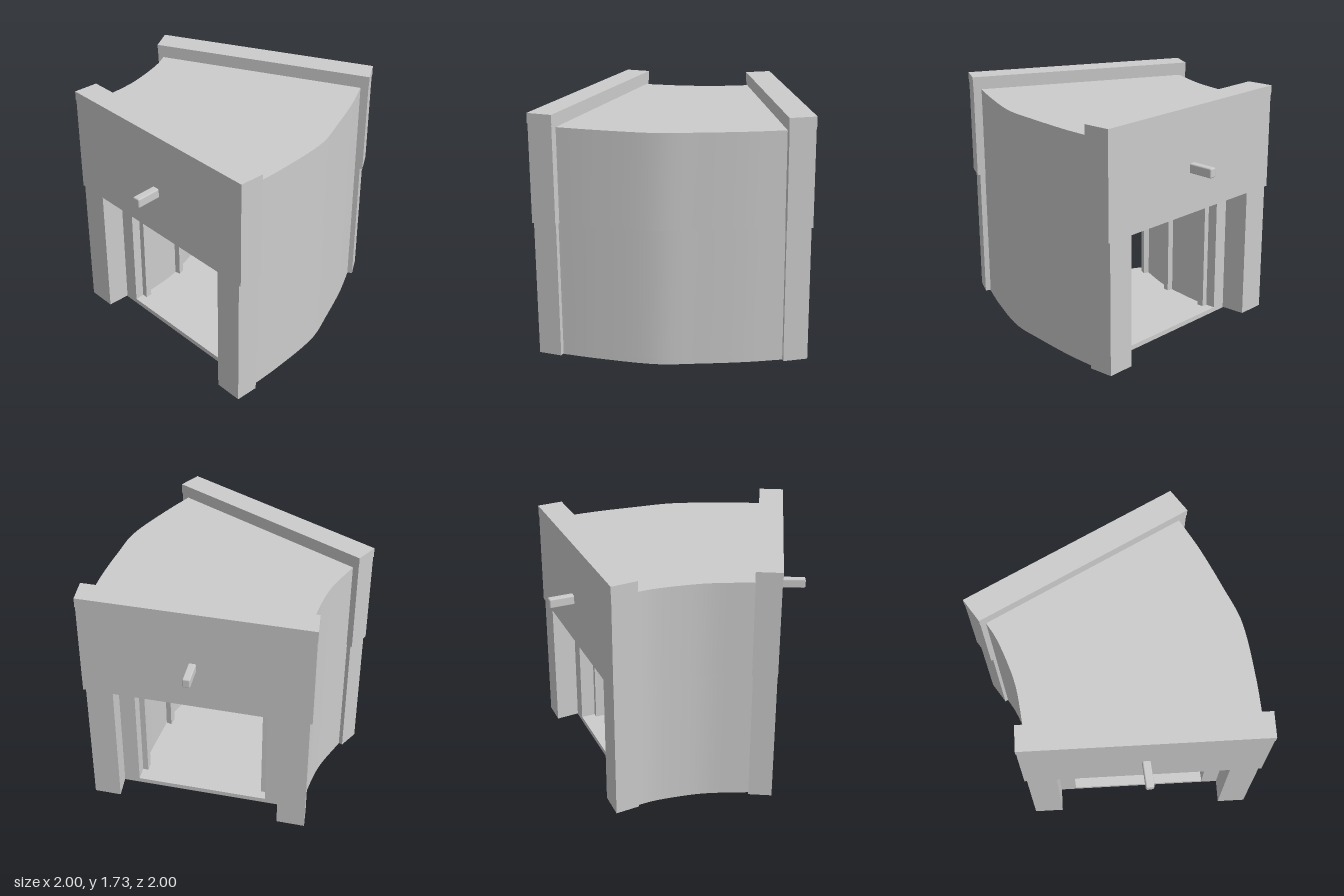
import * as THREE from 'three';
import { toCreasedNormals } from 'three/addons/utils/BufferGeometryUtils.js';
import { RoundedBoxGeometry } from 'three/addons/geometries/RoundedBoxGeometry.js';

export function createModel() {
  const model = new THREE.Group();
  const grey = new THREE.MeshStandardMaterial({ color: 0xcccccc });
  grey.name = 'plain grey';

  // Plan curves of the two side walls, as (x, 0, z), from front to back
  const curve = (pts) => new THREE.CatmullRomCurve3(pts.map(([x, z]) => new THREE.Vector3(x, 0, z)));
  const innerCurve = curve([[-0.628, 0.65], [-0.67, 0.345], [-0.725, 0.163], [-0.8, -0.02], [-0.858, -0.117]]);
  const outerCurve = curve([[0.933, 0.65], [0.917, 0.38], [0.86, -0.04], [0.765, -0.275], [0.62, -0.595], [0.495, -0.822]]);

  // Plan maps: u runs across from right to left, s from front to back
  const passage = (u, s) => innerCurve.getPointAt(s).lerp(outerCurve.getPointAt(s), u);
  const quad = (fr, fl, br, bl) => {
    const v = ([x, z]) => new THREE.Vector3(x, 0, z);
    return (u, s) => v(fr).lerp(v(fl), u).lerp(v(br).lerp(v(bl), u), s);
  };
  const frontFrame = quad([-0.68, 0.82], [0.995, 0.82], [-0.68, 0.64], [0.995, 0.64]);
  const backFrame = quad([-0.894, -0.094], [0.553, -0.842], [-1.0, -0.254], [0.447, -1.0]);

  // A box whose plan is bent by one of the maps
  function block(name, map, [u0, u1], [y0, y1], [s0, s1], steps = 1) {
    const geo = new THREE.BoxGeometry(1, 1, 1, 1, 1, steps);
    const pos = geo.attributes.position;
    for (let i = 0; i < pos.count; i++) {
      const u = u0 + (pos.getX(i) + 0.5) * (u1 - u0);
      const s = s0 + (0.5 - pos.getZ(i)) * (s1 - s0);
      const p = map(u, THREE.MathUtils.clamp(s, 0, 1));
      pos.setXYZ(i, p.x, y0 + (pos.getY(i) + 0.5) * (y1 - y0), p.z);
    }
    const mesh = new THREE.Mesh(toCreasedNormals(geo, 0.5), grey);
    mesh.name = name;
    model.add(mesh);
  }

  // Curved passage
  const wallR = 0.186, wallL = 0.82, full = [0, 1], N = 20;
  block('floor', passage, full, [0, 0.035], full, N);
  block('rightWall', passage, [0, wallR], [0.035, 0.97], full, N);
  block('leftWall', passage, [wallL, 1], [0.035, 0.97], full, N);
  block('roof', passage, full, [0.97, 1.635], full, N);

  // Ribs and wall lamps on both inner walls
  const sides = [['right', wallR, 1], ['left', wallL, -1]];
  for (const [side, wall, d] of sides) {
    const span = (a, b) => (d > 0 ? [wall + a, wall + b] : [wall - b, wall - a]);
    for (const s of [0.1, 0.5, 0.9])
      block(side + 'Rib', passage, span(0, 0.027), [0.035, 0.97], [s - 0.025, s + 0.025], 2);
    for (const s of [0.3, 0.7]) {
      block(side + 'LampRod', passage, span(0, 0.035), [0.892, 0.907], [s - 0.006, s + 0.006]);
      block(side + 'Lamp', passage, span(0.035, 0.08), [0.857, 0.93], [s - 0.02, s + 0.02]);
    }
  }

  // Portal frames at both ends
  for (const [end, map] of [['front', frontFrame], ['back', backFrame]]) {
    block(end + 'RightPost', map, [0.012, 0.137], [0.005, 0.97], [0.03, 0.95]);
    block(end + 'LeftPost', map, [0.866, 0.986], [0.005, 0.97], [0.03, 0.95]);
    block(end + 'Lintel', map, [0.002, 0.998], [0.97, 1.66], [0.015, 0.985]);
    block(end + 'Cap', map, full, [1.66, 1.73], full);
  }

  // Short pegs sticking out of the lintels
  function peg(name, [x0, z0], [x1, z1], width) {
    const length = Math.hypot(x1 - x0, z1 - z0) + 0.02;
    const mesh = new THREE.Mesh(new RoundedBoxGeometry(width, 0.07, length, 1, 0.01), grey);
    mesh.name = name;
    mesh.position.set((x0 + x1) / 2, 1.3, (z0 + z1) / 2);
    mesh.rotation.y = Math.atan2(x1 - x0, z1 - z0);
    model.add(mesh);
  }
  peg('frontPeg', [0.17, 0.82], [0.184, 0.99], 0.058);
  peg('backPeg', [-0.26, -0.635], [-0.343, -0.782], 0.055);

  return model;
}
